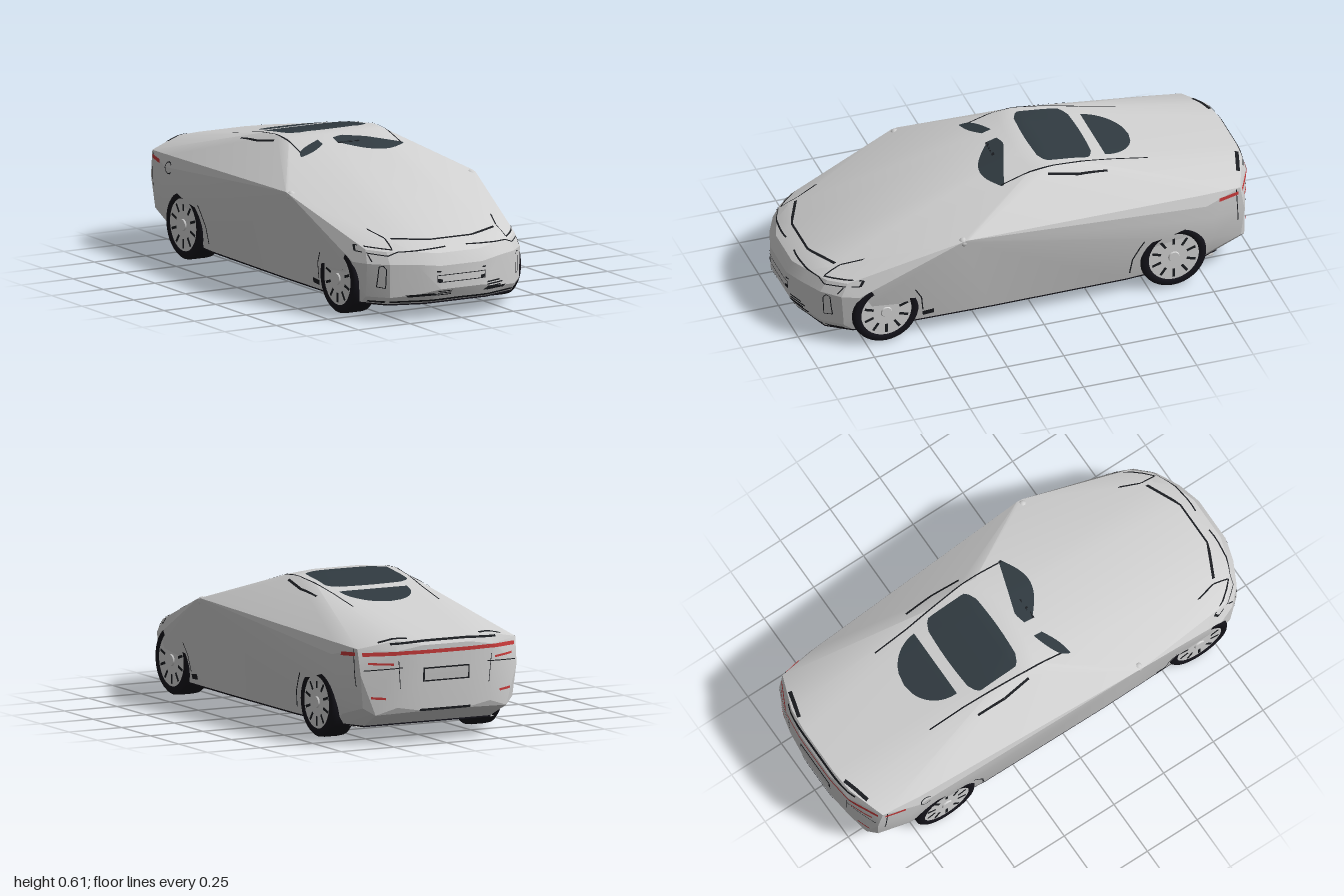
import * as THREE from 'three';
import { ConvexGeometry } from 'three/addons/geometries/ConvexGeometry.js';
import { mergeGeometries, toCreasedNormals } from 'three/addons/utils/BufferGeometryUtils.js';

const material = (name, color, side = THREE.FrontSide) => {
  const m = new THREE.MeshStandardMaterial({ color, side });
  m.name = name;
  return m;
};

export function createModel() {
  const car = new THREE.Group();
  car.name = 'car';
  const paint = material('silverPaint', 0xd0d0d0);
  const rubber = material('blackRubber', 0x14131a);
  const rimMetal = material('rimMetal', 0xd4d4d4);
  const trim = material('blackTrim', 0x1a1c20, THREE.DoubleSide);
  const glass = material('darkGlass', 0x303a40, THREE.DoubleSide);
  const red = material('redLamp', 0xc83a3a, THREE.DoubleSide);
  const plateMat = material('plateGrey', 0xc4c4c4, THREE.DoubleSide);

  const add = (name, geometry, mat, parent = car) => {
    const mesh = new THREE.Mesh(geometry, mat);
    mesh.name = name;
    parent.add(mesh);
    return mesh;
  };

  // Faceted body shell: one half as [x, y, z], mirrored
  const floorLine = [[.15, .95], [.3, .9], [.37, .8], [.385, .6], [.39, .2], [.385, -.4], [.36, -.7], [.3, -.83]];
  const roof = [[.1, .605, -.02], [.225, .598, -.04], [.12, .607, -.12], [.235, .6, -.12], [.22, .585, -.26], [.12, .59, -.24], [.14, .56, -.4]];
  const mirrorTips = [[.452, .46, .32], [.452, .455, .345], [.448, .435, .34]];
  const nose = [
    [.1, .23, 1], [.1, .13, 1], [.13, .08, .97], [.1, .28, .975], [.2, .24, .97], [.2, .11, .965],
    [.2, .29, .94], [.3, .24, .92], [.3, .1, .92], [.3, .29, .89], [.37, .24, .85], [.37, .1, .84],
    [.36, .295, .82], [.1, .325, .905], [.25, .32, .87], [.1, .343, .82], [.27, .335, .79],
    [.385, .3, .74], [.4, .24, .78], [.395, .15, .78],
  ];
  const tail = [
    [.41, .37, -.75], [.395, .42, -.74], [.405, .3, -.78], [.395, .2, -.79], [.375, .12, -.78],
    [.375, .41, -.91], [.37, .3, -.93], [.355, .16, -.92], [.22, .444, -.97], [.23, .4, -.985],
    [.22, .16, -.975], [.11, .446, -.98], [.11, .42, -1], [.11, .3, -.995], [.1, .14, -.985], [.31, .13, -.95],
  ];
  const points = [...floorLine.map(([x, z]) => [x, .07, z]), ...roof, ...mirrorTips, ...nose, ...tail]
    .flatMap(([x, y, z]) => [new THREE.Vector3(x, y, z), new THREE.Vector3(-x, y, z)]);
  const hull = new ConvexGeometry(points);
  add('bodyShell', toCreasedNormals(hull, .3), paint);

  // Planes of the shell, used to lay thin details onto it
  const planes = [];
  const hp = hull.attributes.position;
  for (let i = 0; i < hp.count; i += 3) {
    const t = new THREE.Triangle().setFromAttributeAndIndices(hp, i, i + 1, i + 2);
    if (t.getArea() > 1e-6) planes.push(t.getPlane(new THREE.Plane()));
  }
  const views = {
    top: [(a, b) => new THREE.Vector3(a, .2, b), new THREE.Vector3(0, 1, 0)],
    front: [(a, b) => new THREE.Vector3(a, b, 0), new THREE.Vector3(0, 0, 1)],
    back: [(a, b) => new THREE.Vector3(a, b, 0), new THREE.Vector3(0, 0, -1)],
    left: [(a, b) => new THREE.Vector3(0, b, a), new THREE.Vector3(1, 0, 0)],
    right: [(a, b) => new THREE.Vector3(0, b, a), new THREE.Vector3(-1, 0, 0)],
  };
  const patch = (view, rule, nu = 6, nv = 1, lift = .003) => {
    const g = new THREE.PlaneGeometry(1, 1, nu, nv);
    const [start, dir] = views[view];
    const pos = g.attributes.position, uv = g.attributes.uv;
    for (let i = 0; i < pos.count; i++) {
      const p = start(...rule(uv.getX(i), uv.getY(i)));
      let reach = 2;
      for (const { normal, constant } of planes) {
        const slope = normal.dot(dir);
        if (slope > 1e-4) reach = Math.min(reach, (lift - constant - normal.dot(p)) / slope);
      }
      p.addScaledVector(dir, reach);
      pos.setXYZ(i, p.x, p.y, p.z);
    }
    g.computeVertexNormals();
    return g;
  };
  const ribbon = (view, pts, w = .005) => mergeGeometries(pts.slice(1).map(([x1, y1], i) => {
    const [x0, y0] = pts[i];
    const len = Math.hypot(x1 - x0, y1 - y0);
    return patch(view, (u, v) => [
      x0 + (x1 - x0) * u - (y1 - y0) / len * w * (v - .5),
      y0 + (y1 - y0) * u + (x1 - x0) / len * w * (v - .5),
    ], Math.max(2, Math.ceil(len * 25)));
  }));
  const line = (name, view, pts, w, mat = trim) => add(name, ribbon(view, pts, w), mat);
  const block = (name, view, x0, x1, y0, y1, mat, lift) =>
    add(name, patch(view, (u, v) => [x0 + (x1 - x0) * u, y0 + (y1 - y0) * v], 8, 4, lift), mat);

  // Glass in the roof, rear window and windscreen
  add('roofGlass', patch('top', (u, v) => {
    const half = .195 - .55 * Math.max(0, Math.abs(2 * v - 1) - .7) ** 2;
    return [(2 * u - 1) * half, -.33 + .24 * v + .012 * (v - .5) * Math.cos(Math.PI * (u - .5))];
  }, 16, 16), glass);
  add('rearGlass', patch('top', (u, v) =>
    [.015 + (2 * u - 1) * .16 * Math.sqrt(1 - v * v), -.383 - .157 * v], 16, 16), glass);
  add('windscreenLeft', patch('top', (u, v) => {
    const upper = -.01 + .1 * u + .03 * Math.max(0, 1 - 6 * u);
    const lower = .06 + .04 * u + .07 * Math.sin(Math.PI * u);
    return [-.05 + .297 * u, upper + (lower - upper) * v];
  }, 16, 8), glass);
  add('windscreenRight', patch('top', (u, v) => {
    const upper = .105 - .085 * Math.sqrt(u);
    const lower = .115 - .055 * u + .01 * Math.sin(Math.PI * u);
    return [-.255 + .135 * u, upper + (lower - upper) * v];
  }, 12, 6), glass);
  line('wiper', 'top', [[-.05, .065], [.05, .068]], .012);

  for (const s of [-1, 1]) {
    const m = pts => pts.map(([x, y]) => [x * s, y]);
    // Roof rails and window edges
    line('roofRail', 'top', m([[.27, -.36], [.275, -.23], [.262, -.1]]), .009);
    line('windowEdge', 'top', m([[.205, -.56], [.21, -.4], [.235, -.1], [.24, .1]]), .006);
    // Headlamp, bonnet and bumper seams
    line('bonnetSeam', 'front', m([[.3, .36], [.27, .335], [.275, .3]]));
    line('headlampSeam', 'front', m([[.275, .298], [.38, .308], [.385, .285], [.3, .275], [.26, .29], [.05, .3]]), .004);
    line('lampCorner', 'front', m([[.36, .277], [.355, .25]]), .004);
    line('airCurtain', 'front', m([[.322, .235], [.335, .23], [.342, .145], [.315, .14], [.312, .22], [.322, .235]]), .003);
    line('plateCorner', 'front', m([[.092, .166], [.115, .17]]), .013);
    line('grilleMark', 'front', m([[.1, .207], [.118, .207]]), .006);
    // Rear lamps, bumper and side details
    const side = s > 0 ? 'left' : 'right';
    line('rearSideLamp', side, [[-.81, .382], [-.9, .388]], .016, red);
    line('rearReflector', 'back', m([[.27, .2], [.33, .205]]), .01, red);
    line('lowerLamp', 'back', m([[.24, .345], [.34, .35]]), .009, red);
    line('bumperSeam', 'back', m([[.2, .33], [.36, .32]]), .004);
    line('bootSeam', 'back', m([[.22, .36], [.21, .24]]), .003);
    line('tailCorner', 'top', m([[.17, -.965], [.29, -.93]]), .016);
    line('bumperVent', side, [[.99, .11], [.95, .105]], .01);
    line('sillMark', side, [[.5, .1], [.45, .105]], .022);
    line('shoulderSeam', side, [[-.89, .41], [-.9, .25]], .004);
    line('rearArch', side, [[-.415, .1], [-.425, .17], [-.455, .225], [-.475, .255]], .006);
    line('frontArch', side, [[.5, .12], [.51, .19], [.54, .24]], .005);
    add('mirror', new THREE.SphereGeometry(.02, 10, 8), paint).position.set(s * .434, .445, .335);
  }
  line('bonnetEdge', 'front', [[-.25, .333], [-.1, .327], [.1, .327], [.25, .333]], .004);
  line('frontLip', 'front', [[-.36, .079], [0, .083], [.36, .079]], .008);
  for (let i = 0; i < 4; i++) {
    line('leftVent', 'front', [[.13, .105 + i * .011], [.2 + .01 * (i % 3), .105 + i * .011]], .006);
    if (i < 3) line('rightVent', 'front', [[-.11, .105 + i * .008], [-.045, .105 + i * .008]], .004);
  }
  line('frontPlate', 'front', [[-.115, .16], [.115, .16], [.115, .19], [-.115, .19], [-.115, .16]], .003);

  // Tail bar, spoiler edge and rear plate
  line('tailBar', 'back', [[-.36, .387], [-.2, .392], [.2, .392], [.36, .387]], .016, red);
  line('spoilerEdge', 'back', [[-.25, .43], [-.1, .438], [.1, .438], [.25, .43]], .009);
  block('rearPlateFrame', 'back', -.11, .11, .265, .325, trim);
  block('rearPlate', 'back', -.103, .103, .271, .319, plateMat, .005);
  line('diffuser', 'back', [[-.12, .145], [.12, .145]], .01);
  line('fuelCap', 'right', Array.from({ length: 11 }, (_, i) => {
    const a = .6 + i * .5;
    return [-.715 + .027 * Math.cos(a), .372 + .025 * Math.sin(a)];
  }), .005);

  // Dark floor with lighter cross panels
  const outline = [...floorLine, ...floorLine.map(([x, z]) => [-x, z]).reverse()];
  const floor = new THREE.ExtrudeGeometry(
    new THREE.Shape(outline.map(([x, z]) => new THREE.Vector2(x, -z))), { depth: .009, bevelEnabled: false });
  floor.rotateX(-Math.PI / 2).translate(0, .064, 0);
  add('floor', floor, rubber);
  for (const [z, depth] of [[-.43, .1], [.5, .07]]) {
    add('floorPanel', new THREE.BoxGeometry(.66, .004, depth), plateMat).position.set(0, .063, z);
  }
  for (const s of [-1, 1]) {
    add('rearFloorPanel', new THREE.BoxGeometry(.07, .004, .12), plateMat).position.set(s * .29, .063, -.75);
  }

  // Wheels: rounded tyre, rim disc, hub and slots between the spokes
  const tyreProfile = [[.105, -.058], [.135, -.058], [.145, -.048], [.147, -.03], [.147, .03], [.145, .048], [.135, .058], [.112, .058], [.108, .045]];
  const tyre = new THREE.LatheGeometry(tyreProfile.map(([r, y]) => new THREE.Vector2(r, y)), 40).rotateZ(-Math.PI / 2);
  const rim = new THREE.CylinderGeometry(.112, .112, .108, 40).rotateZ(-Math.PI / 2);
  const hub = new THREE.CylinderGeometry(.022, .026, .008, 16).rotateZ(-Math.PI / 2);
  const slot = new THREE.BoxGeometry(.004, .04, .011);
  for (const s of [-1, 1]) {
    for (const z of [.663, -.607]) {
      const wheel = new THREE.Group();
      wheel.name = z > 0 ? 'frontWheel' : 'rearWheel';
      wheel.position.set(s * .348, .147, z);
      wheel.rotation.y = s < 0 ? Math.PI : 0;
      add('tyre', tyre, rubber, wheel);
      add('rim', rim, rimMetal, wheel);
      add('hub', hub, rimMetal, wheel).position.x = .056;
      for (let i = 0; i < 10; i++) {
        const a = i * Math.PI / 5;
        const hole = add('rimSlot', slot, trim, wheel);
        hole.position.set(.0535, Math.cos(a) * .08, Math.sin(a) * .08);
        hole.rotation.x = a;
      }
      car.add(wheel);
    }
  }
  return car;
}
